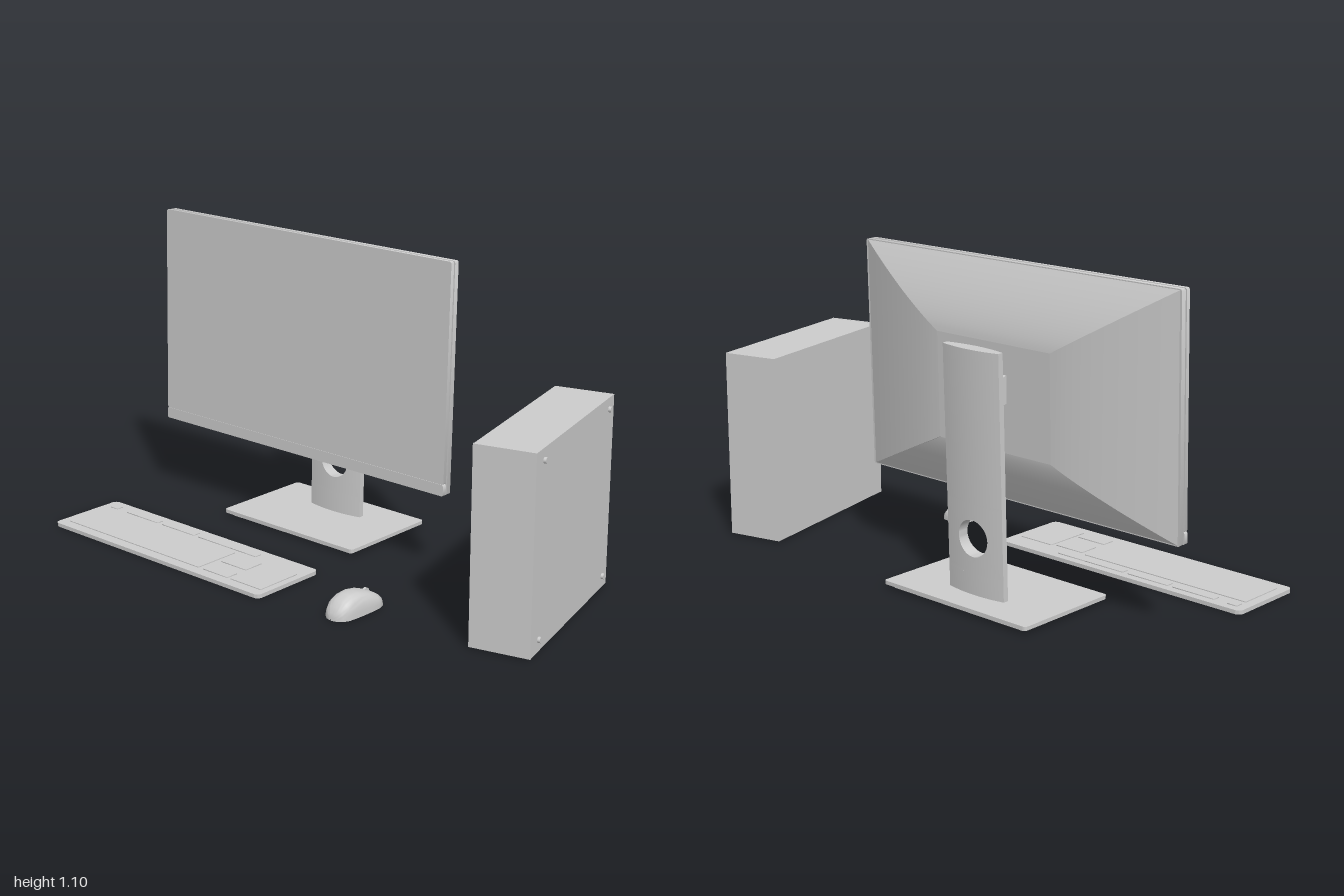
import * as THREE from 'three';
import { toCreasedNormals } from 'three/addons/utils/BufferGeometryUtils.js';

const V = (x, y, z) => new THREE.Vector3(x, y, z);
const mat = new THREE.MeshStandardMaterial({ color: 0xcccccc });

function add(parent, name, geo, x = 0, y = 0, z = 0) {
  const m = new THREE.Mesh(geo, mat);
  m.name = name;
  m.position.set(x, y, z);
  parent.add(m);
  return m;
}

function addGroup(parent, name, x, y, z) {
  const g = new THREE.Group();
  g.name = name;
  g.position.set(x, y, z);
  parent.add(g);
  return g;
}

// Surface through rows of points; its front is (row direction) x (column direction)
function grid(rows, crease = 0.6) {
  const pos = [];
  const put = (...ps) => ps.forEach((p) => pos.push(p.x, p.y, p.z));
  for (let i = 0; i + 1 < rows.length; i++) {
    for (let j = 0; j + 1 < rows[i].length; j++) {
      const a = rows[i][j], b = rows[i + 1][j], c = rows[i + 1][j + 1], d = rows[i][j + 1];
      put(a, b, c, a, c, d);
    }
  }
  const g = new THREE.BufferGeometry();
  g.setAttribute('position', new THREE.Float32BufferAttribute(pos, 3));
  return toCreasedNormals(g, crease);
}

// Rounded rectangle centred on the origin, extruded along +z
function plate(w, h, depth, r) {
  const s = new THREE.Shape(), x = w / 2 - r, y = h / 2 - r;
  s.absarc(x, y, r, 0, Math.PI / 2);
  s.absarc(-x, y, r, Math.PI / 2, Math.PI);
  s.absarc(-x, -y, r, Math.PI, Math.PI * 1.5);
  s.absarc(x, -y, r, Math.PI * 1.5, Math.PI * 2);
  const g = new THREE.ExtrudeGeometry(s, { depth, bevelEnabled: false, curveSegments: 6 });
  return toCreasedNormals(g, 0.6);
}
const slab = (w, d, h, r) => plate(w, d, h, r).rotateX(-Math.PI / 2);

function buildMonitor(root) {
  const g = addGroup(root, 'monitor', -0.297, 0.6975, -0.12);
  g.rotation.x = -0.029;
  // Screen, chin and rim
  add(g, 'screen', plate(1.345, 0.764, 0.014, 0.008), 0, 0.02, -0.014);
  add(g, 'chin', plate(1.345, 0.04, 0.016, 0.006), 0, -0.382, -0.014);
  add(g, 'rimGap', plate(1.33, 0.79, 0.01, 0.008), 0, 0, -0.022);
  add(g, 'rearRim', plate(1.345, 0.804, 0.018, 0.008), 0, 0, -0.038);

  // Curved hipped back: four panels that rise from the rim to a flat centre
  const N = 14;
  const corner = (k, t, scale = 1) => {
    const x = 0.668 - 0.425 * t;
    const y = k < 2 ? 0.4 - 0.24 * t : -0.4 + 0.2 * t;
    const z = -0.037 - 0.103 * scale * (1 - Math.pow(1 - t, 1.5));
    return V(k === 0 || k === 3 ? x : -x, y, z);
  };
  const steps = Array.from({ length: N + 1 }, (_, i) => i / N);
  const names = ['backTop', 'backRight', 'backBottom', 'backLeft'];
  names.forEach((name, k) => {
    const scale = k === 2 ? 0.78 : 1;
    add(g, name, grid(steps.map((t) => [corner(k, t, scale), corner((k + 1) % 4, t, scale)])));
  });
  add(g, 'backCentre', grid([[corner(0, 1), corner(1, 1)], [corner(3, 1), corner(2, 1)]]));
  // Ledge around the sunken bottom panel
  const ledge = (s) => [
    ...steps.map((t) => corner(2, t, s)),
    ...steps.map((t) => corner(3, 1 - t, s)),
  ];
  add(g, 'backLedge', grid([ledge(0.78), ledge(1)]));
}

function buildStand(root) {
  const g = addGroup(root, 'stand', -0.297, 0, 0);
  add(g, 'basePlate', slab(0.63, 0.4, 0.013, 0.012), 0, 0.012, -0.25);
  add(g, 'baseFoot', slab(0.59, 0.36, 0.012, 0.012), 0, 0, -0.25);

  // Leaning column with a lens-shaped section and a round cable hole
  const col = addGroup(g, 'column', 0, 0.02, -0.325);
  col.rotation.x = -0.036;
  const W = 0.12;
  const half = (x) => 0.01 + 0.014 * (1 - (x / W) ** 2);
  const xs = Array.from({ length: 17 }, (_, i) => -W + (i * W) / 8);
  const lens = new THREE.Shape([
    ...xs.map((x) => new THREE.Vector2(x, -half(x))),
    ...xs.map((x) => new THREE.Vector2(-x, half(x))),
  ]);
  const section = (h) => toCreasedNormals(
    new THREE.ExtrudeGeometry(lens, { depth: h, bevelEnabled: false }).rotateX(-Math.PI / 2), 0.6);
  add(col, 'columnFoot', section(0.08));
  add(col, 'columnTop', section(0.51), 0, 0.32, 0);

  const rows = [];
  for (let i = 0; i <= 48; i++) {
    const a = (i / 48) * Math.PI * 2, c = Math.cos(a), s = Math.sin(a);
    const outer = W / Math.max(Math.abs(c), Math.abs(s));
    const row = [];
    for (let j = 0; j <= 13; j++) {
      const u = j < 7 ? 1 - j / 6 : (j - 7) / 6;
      const r = 0.063 + (outer - 0.063) * u;
      row.push(V(r * c, r * s, half(r * c) * (j < 7 ? 1 : -1)));
    }
    row.push(row[0]);
    rows.push(row);
  }
  add(col, 'columnHole', grid(rows), 0, 0.2, 0);

  // Tilt hinge between column and monitor
  const barrel = new THREE.CylinderGeometry(0.028, 0.028, 0.12, 24).rotateZ(Math.PI / 2);
  add(g, 'hingeBarrel', barrel, 0, 0.7, -0.297);
  add(g, 'hingeArm', new THREE.BoxGeometry(0.11, 0.055, 0.05), 0, 0.697, -0.322);
  const mount = add(g, 'hingeMount', new THREE.BoxGeometry(0.12, 0.09, 0.045), 0, 0.705, -0.268);
  mount.rotation.x = -0.25;
}

function buildKeyboard(root) {
  const g = addGroup(root, 'keyboard', -0.482, 0, 0.292);
  add(g, 'keyboardBody', slab(1.035, 0.298, 0.014, 0.02));
  // Low key blocks: x, z, width, depth
  const blocks = [
    [-0.465, -0.105, 0.04, 0.03], [0.21, -0.105, 0.13, 0.03],
    [-0.145, 0.02, 0.68, 0.18], [0.275, -0.02, 0.12, 0.08],
    [0.275, 0.085, 0.12, 0.05], [0.42, 0.02, 0.145, 0.18],
  ];
  for (let i = 0; i < 3; i++) blocks.push([-0.31 + i * 0.19, -0.105, 0.17, 0.03]);
  blocks.forEach(([x, z, w, d]) => add(g, 'keyBlock', slab(w, d, 0.003, 0.004), x, 0.014, z));
}

function buildMouse(root) {
  const g = addGroup(root, 'mouse', 0.335, 0.002, 0);
  // Half-width and height along the length
  const stations = [
    [0.2, 0.001, 0.01], [0.201, 0.036, 0.026], [0.207, 0.046, 0.036], [0.23, 0.053, 0.05],
    [0.27, 0.055, 0.066], [0.31, 0.054, 0.074], [0.345, 0.052, 0.072], [0.375, 0.048, 0.06],
    [0.395, 0.038, 0.042], [0.407, 0.024, 0.024], [0.413, 0.001, 0.006],
  ];
  const rows = stations.map(([z, w, h]) => {
    const row = [];
    for (let j = 0; j <= 20; j++) {
      const a = Math.PI * (1 - j / 20), c = Math.cos(a);
      const x = w * Math.sign(c) * Math.pow(Math.abs(c), 0.7);
      row.push(V(x, h * Math.pow(Math.max(0, Math.sin(a)), 0.7), z));
    }
    row.push(row[0]);
    return row;
  });
  add(g, 'mouseBody', grid(rows, 0.9));
  const wheel = new THREE.CylinderGeometry(0.015, 0.015, 0.01, 20).rotateZ(Math.PI / 2);
  add(g, 'scrollWheel', wheel, 0, 0.047, 0.243);
}

function buildTower(root) {
  const g = addGroup(root, 'computerTower', 0.807, 0, -0.08);
  g.rotation.y = 0.25;
  add(g, 'towerCase', new THREE.BoxGeometry(0.206, 0.668, 0.686), 0, 0.338, -0.002);
  add(g, 'towerFront', new THREE.BoxGeometry(0.207, 0.669, 0.008), 0, 0.338, 0.341);
  add(g, 'towerFoot', new THREE.BoxGeometry(0.18, 0.006, 0.64), 0, 0.003, 0);
  // Side panel screws
  for (const y of [0.045, 0.632]) {
    for (const z of [-0.3, 0.279]) {
      const screw = new THREE.CylinderGeometry(0.01, 0.01, 0.012, 16).rotateZ(Math.PI / 2);
      add(g, 'panelScrew', screw, 0.106, y, z);
    }
  }
}

export function createModel() {
  const root = new THREE.Group();
  root.name = 'desktopComputer';
  buildMonitor(root);
  buildStand(root);
  buildKeyboard(root);
  buildMouse(root);
  buildTower(root);
  return root;
}
